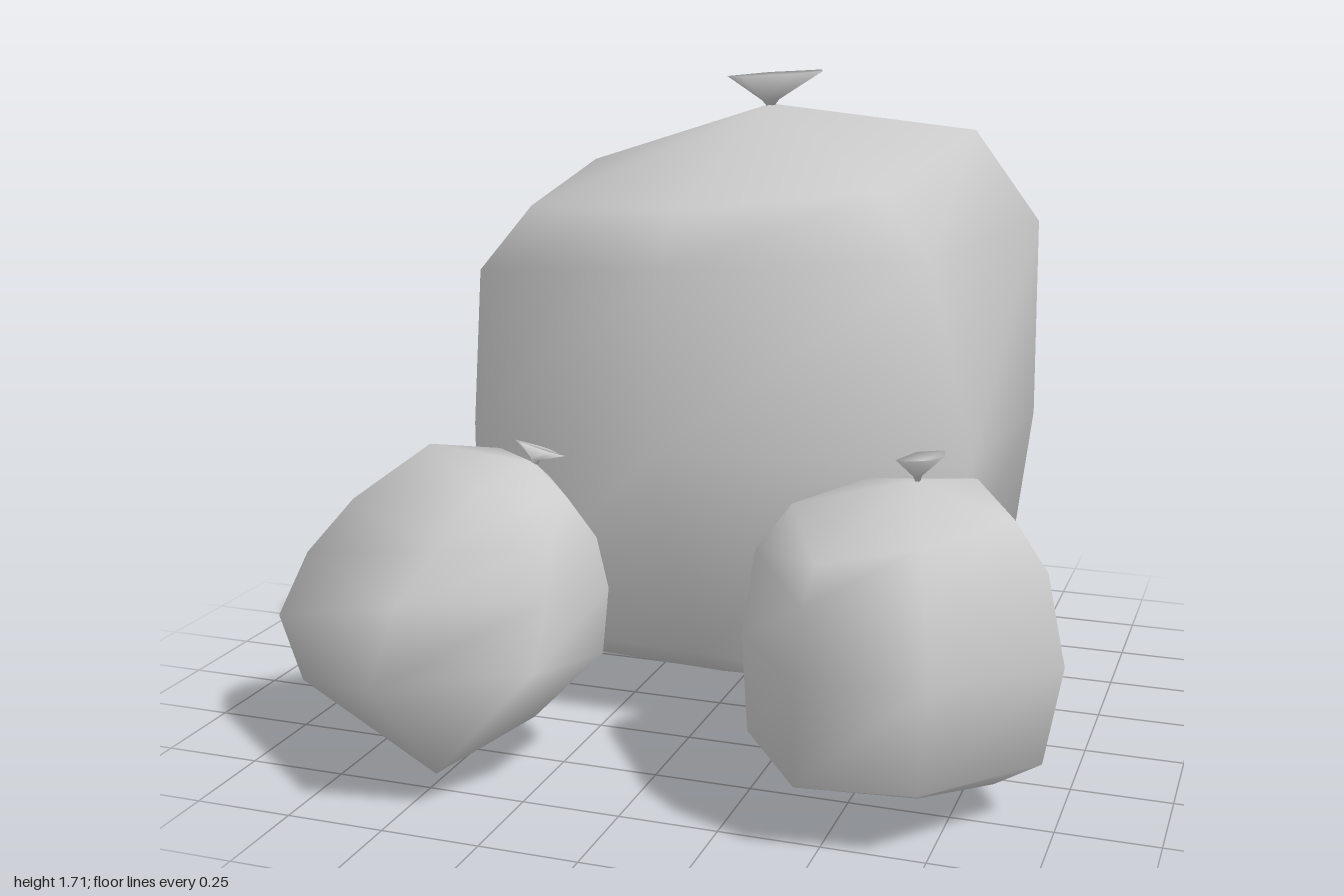
import * as THREE from 'three';

const material = new THREE.MeshStandardMaterial({ color: 0xcccccc, side: THREE.DoubleSide });

// Lofts an outline of corners [x, z, lift] through levels, from bottom to top.
// level: y, centre x, centre z, scale x, scale z, slope along x, slope along z, own outline
function loft(name, outline, levels, bottom, top) {
  const n = outline.length;
  const positions = [];
  const index = [];
  for (const [y, cx, cz, sx, sz, kx = 0, kz = 0, corners = outline] of levels) {
    for (const [ox, oz, lift = 0] of corners) {
      const dx = ox * sx;
      const dz = oz * sz;
      positions.push(cx + dx, y + lift + kx * dx + kz * dz, cz + dz);
    }
  }
  const low = levels.length * n;
  const high = low + 1;
  positions.push(...bottom, ...top);
  for (let i = 0; i < n; i++) {
    const k = (i + 1) % n;
    for (let j = 0; j < levels.length - 1; j++) {
      const a = j * n + i, b = j * n + k;
      index.push(a, a + n, b, b, a + n, b + n);
    }
    index.push(low, i, k, high, low - n + k, low - n + i);
  }
  const geometry = new THREE.BufferGeometry();
  geometry.setAttribute('position', new THREE.Float32BufferAttribute(positions, 3));
  geometry.setIndex(index);
  geometry.computeVertexNormals();
  const mesh = new THREE.Mesh(geometry, material);
  mesh.name = name;
  return mesh;
}

// Irregular rim of the gathered neck
const rim = [[-0.4, -0.8], [0.75, -1], [1, 0], [0.6, 0.75], [-0.6, 0.8], [-1, 0.5]];

// Pinched neck flaring out to a rim with a sunken middle
function knot(name, [x, y, z], [tx, ty, tz], rx, rz, kx, kz) {
  return loft(name, rim, [
    [y + 0.01, x, z, rx * 0.18, rz * 0.18, kx, kz],
    [ty, tx, tz, rx, rz, kx, kz],
  ], [x, y - 0.02, z], [tx, ty - 0.01, tz]);
}

function bag(name, outline, levels, bottom, neck, flare, rx, rz, kx, kz) {
  const group = new THREE.Group();
  group.name = name;
  group.add(loft(name + 'Body', outline, levels, bottom, neck));
  group.add(knot(name + 'Knot', neck, flare, rx, rz, kx, kz));
  return group;
}

// Large bag: outlines of the belly, the foot and the shoulder with its pulled-in corner
const belly = [[-0.05, -0.69], [0.72, -0.41], [0.71, 0.45], [-0.05, 0.68], [-0.64, 0.45], [-0.71, -0.38]];
const foot = [[-0.05, -0.8], [0.67, -0.57], [0.54, 0.16], [0, 0.2], [-0.64, 0.16, -0.06], [-0.62, -0.65]];
const shoulder = belly.map((corner, i) => (i === 2 ? [0.56, 0.34, -0.04] : corner));

// Upright small bag: its shoulder sags at one front corner
const upright = [[0.18, -0.36], [0.38, -0.02], [0.13, 0.3], [-0.17, 0.35], [-0.4, 0.02], [-0.2, -0.28]];
const sagging = upright.map((corner, i) => (i === 3 ? [-0.21, 0.37, -0.04] : corner));

// Leaning small bag: foot around the lowest point
const leaning = [[-0.15, -0.4], [0.22, -0.3], [0.42, -0.08], [0.33, 0.14], [0.03, 0.42], [-0.43, 0.05]];
const leaningFoot = [[-0.15, -0.3, 0.03], [0.15, -0.24], [0.34, -0.1, 0.1], [0.35, 0.15, 0.1],
  [0.17, 0.33], [-0.37, 0.03, 0.06]];

export function createModel() {
  const model = new THREE.Group();
  model.name = 'tiedBags';

  // Large bag at the back
  model.add(bag('largeBag', belly,
    [
      [0.04, 0, -0.25, 0.76, 0.17],
      [0.22, 0, 0, 1, 1, -0.09, 0, foot],
      [0.75, 0, -0.29, 1, 1, 0, 0.07],
      [1.23, 0, -0.3, 1, 0.89, 0.09, 0.04, shoulder],
      [1.45, 0, -0.24, 0.78, 0.7, 0.1, -0.12, shoulder],
    ],
    [0, 0.04, -0.25], [0.06, 1.62, -0.25], [0.075, 1.7, -0.26], 0.125, 0.1, 0.06, 0));

  // Small upright bag, front left
  model.add(bag('leftBag', upright,
    [
      [0.06, 0.61, 0.42, 0.6, 0.52, 0, 0.08],
      [0.15, 0.61, 0.48, 0.92, 0.96, 0, 0.06],
      [0.39, 0.62, 0.46, 1, 1.01, 0, 0.1],
      [0.61, 0.61, 0.45, 0.9, 0.93, 0, -0.08],
      [0.73, 0.61, 0.44, 0.68, 0.7, 0, -0.1, sagging],
    ],
    [0.61, 0.05, 0.42], [0.64, 0.81, 0.44], [0.65, 0.87, 0.45], 0.055, 0.06, 0.1, 0));

  // Small bag leaning back towards the middle, front right
  model.add(bag('rightBag', leaning,
    [
      [0.09, -0.6, 0.52, 1, 1, 0, 0, leaningFoot],
      [0.32, -0.57, 0.55, 1, 1, -0.05, 0.03],
      [0.48, -0.54, 0.5, 0.93, 0.9, -0.05, 0.08],
      [0.62, -0.49, 0.49, 0.75, 0.62, -0.1, 0],
      [0.74, -0.43, 0.46, 0.42, 0.36, -0.35, 0],
    ],
    [-0.6, 0, 0.52], [-0.38, 0.74, 0.35], [-0.38, 0.77, 0.31], 0.065, 0.05, -0.25, 0.3));

  return model;
}
